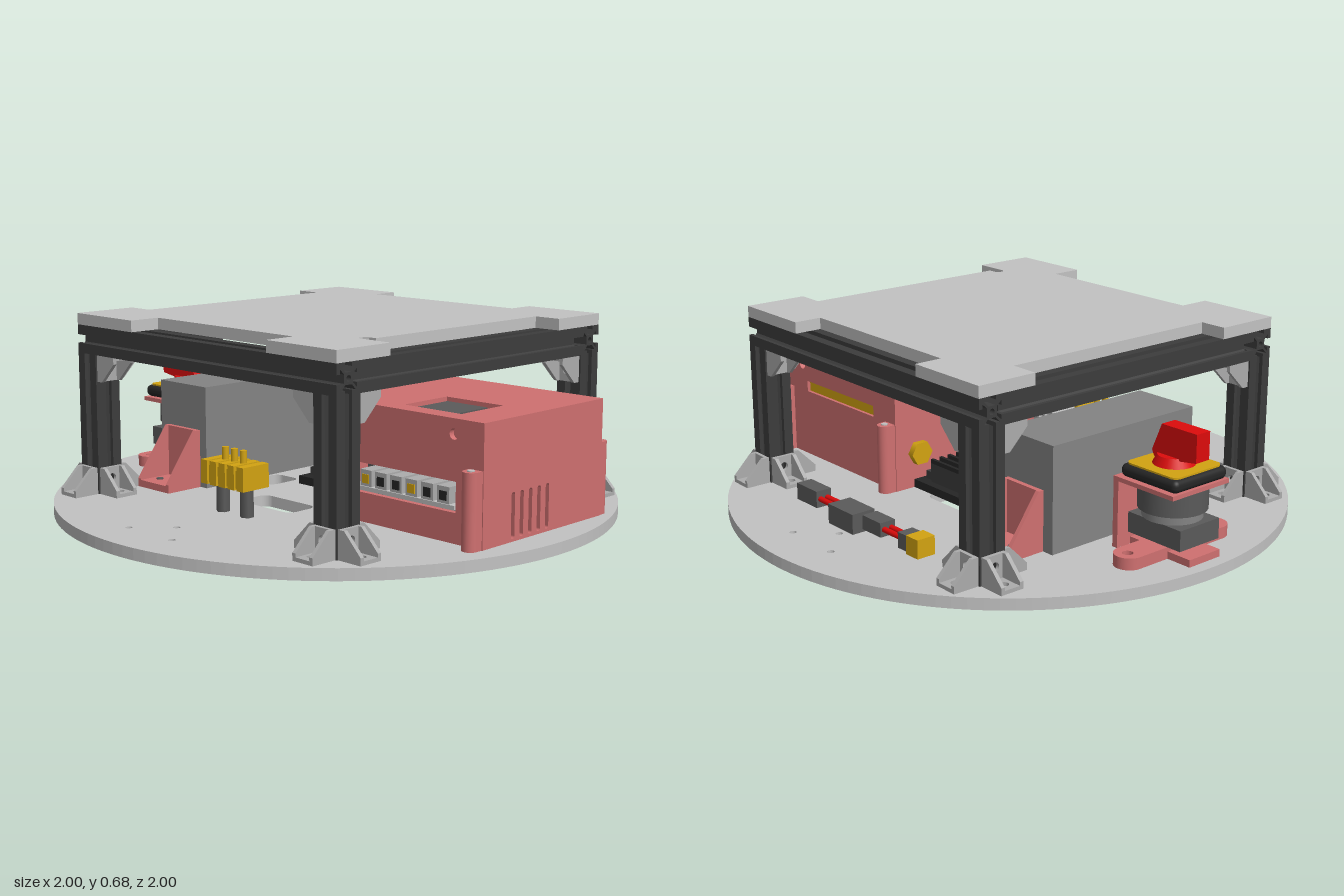
import * as THREE from 'three';
import { RoundedBoxGeometry } from 'three/addons/geometries/RoundedBoxGeometry.js';

const mat = (name, color) => Object.assign(new THREE.MeshStandardMaterial({ color }), { name });
const M = {
  plate: mat('light grey', 0xc2c2c2),
  profile: mat('charcoal', 0x3c3c3c),
  bracket: mat('cast grey', 0xacacac),
  pale: mat('pale red', 0xcf7070),
  red: mat('signal red', 0xdd0c0c),
  gold: mat('yellow', 0xd2a312),
  mid: mat('mid grey', 0x848484),
  dark: mat('dark grey', 0x5a5a5a),
  black: mat('black', 0x262626),
};

function add(parent, name, geo, material, x = 0, y = 0, z = 0) {
  const m = new THREE.Mesh(geo, material);
  m.name = name;
  m.position.set(x, y, z);
  parent.add(m);
  return m;
}
function group(parent, name, x = 0, y = 0, z = 0, ry = 0) {
  const g = new THREE.Group();
  g.name = name;
  g.position.set(x, y, z);
  g.rotation.y = ry;
  parent.add(g);
  return g;
}
// box given by its limits
const box = (p, name, m, x0, x1, y0, y1, z0, z1) =>
  add(p, name, new THREE.BoxGeometry(x1 - x0, y1 - y0, z1 - z0), m, (x0 + x1) / 2, (y0 + y1) / 2, (z0 + z1) / 2);
const cyl = (p, name, m, r0, r1, h, x, y, z, n = 32) =>
  add(p, name, new THREE.CylinderGeometry(r0, r1, h, n), m, x, y + h / 2, z);

const poly = pts => new THREE.Shape(pts.map(p => new THREE.Vector2(...p)));
const rect = (a, b, c, d) => poly([[a, c], [b, c], [b, d], [a, d]]);
const circle = (x, y, r) => new THREE.Shape().absarc(x, y, r, 0, Math.PI * 2);
function slot(cx, cy, w, h, r) {
  const s = new THREE.Shape(), x = w / 2 - r, y = h / 2 - r;
  [[x, y], [-x, y], [-x, -y], [x, -y]].forEach(([dx, dy], i) =>
    s.absarc(cx + dx, cy + dy, r, i * Math.PI / 2, (i + 1) * Math.PI / 2));
  return s;
}
function extrude(shape, depth, holes = []) {
  shape.holes.push(...holes);
  return new THREE.ExtrudeGeometry(shape, { depth, bevelEnabled: false, curveSegments: 12 });
}
// horizontal sheet: shape is (x, z), the sheet hangs below y = 0
const sheet = (shape, t, holes) => extrude(shape, t, holes).rotateX(Math.PI / 2);

// slotted aluminium bar, centred, along z
function bar(length) {
  const side = [[-0.05, 0.05], [-0.015, 0.05], [-0.015, 0.036], [-0.03, 0.036], [-0.014, 0.019],
    [0.014, 0.019], [0.03, 0.036], [0.015, 0.036], [0.015, 0.05]];
  const pts = [];
  for (let i = 0; i < 4; i++) {
    const c = Math.round(Math.cos(i * Math.PI / 2)), s = Math.round(Math.sin(i * Math.PI / 2));
    side.forEach(([x, y]) => pts.push([x * c + y * s, -x * s + y * c]));
  }
  return extrude(poly(pts), length, [circle(0, 0, 0.01)]).translate(0, 0, -length / 2);
}

// corner bracket: foot on y = 0, wall on x = 0, reaching to +x
function cornerBracket(parent, x, y, z, ry, flip = false) {
  const g = group(parent, 'cornerBracket', x, y, z, ry);
  if (flip) g.rotation.set(Math.PI, ry, 0, 'YXZ');
  add(g, 'foot', sheet(rect(0, 0.095, -0.044, 0.044), 0.013, [circle(0.055, 0, 0.016)]), M.bracket, 0, 0.013, 0);
  add(g, 'wall', extrude(rect(-0.044, 0.044, 0, 0.095), 0.013, [circle(0, 0.055, 0.016)]).rotateY(Math.PI / 2), M.bracket);
  for (const s of [-0.044, 0.03])
    add(g, 'web', extrude(poly([[0, 0], [0.095, 0], [0.095, 0.025], [0.025, 0.095], [0, 0.095]]), 0.014), M.bracket, 0, 0, s);
}

function buildBase(root) {
  const holes = [slot(0, 0.29, 0.26, 0.13, 0.035), slot(-0.04, -0.24, 0.26, 0.13, 0.035), slot(-0.28, 0.04, 0.12, 0.14, 0.03)];
  for (const s of [-1, 1]) {
    holes.push(circle(0, s * 0.74, 0.012), circle(-0.81, s * 0.2, 0.012));
    for (const t of [-1, 1])
      holes.push(circle(s * 0.11, t * 0.85, 0.012), circle(s * 0.6, t * 0.71, 0.012), circle(s * 0.71, t * 0.6, 0.012));
  }
  const disc = new THREE.Shape(new THREE.Path().absarc(0, 0, 1, 0, Math.PI * 2).getPoints(64).slice(0, -1));
  add(root, 'baseDisc', sheet(disc, 0.04, holes), M.plate, 0, 0.04, 0);
}

function buildFrame(root) {
  const f = group(root, 'frame', 0.005, 0, -0.005, -0.012);
  for (const s of [-1, 1]) {
    add(f, 'crossBeam', bar(1.3).rotateY(Math.PI / 2), M.profile, 0, 0.59, s * 0.6);
    add(f, 'sideBeam', bar(1.1), M.profile, s * 0.6, 0.59, 0);
    for (const t of [-1, 1]) {
      const x = s * 0.6, z = t * 0.6;
      add(f, 'post', bar(0.5).rotateX(Math.PI / 2), M.profile, x, 0.29, z);
      for (let i = 0; i < 4; i++) {
        const a = i * Math.PI / 2, dx = Math.round(Math.cos(a)), dz = -Math.round(Math.sin(a));
        cornerBracket(f, x + dx * 0.05, 0.04, z + dz * 0.05, a);
        // the upper brackets only point inwards
        if (dx * s < 0 || dz * t < 0) cornerBracket(f, x + dx * 0.05, 0.54, z + dz * 0.05, a, true);
      }
    }
  }
  // top plate with a notch in every side and one cable slot
  const o = 0.65, n = 0.55, w = 0.34, v = 0.42;
  const top = poly([[-o, -o], [-w, -o], [-w, -n], [w, -n], [w, -o], [o, -o], [o, -v], [n, -v], [n, 0.38], [0.52, 0.38],
    [0.505, 0.39], [0.505, 0.41], [0.52, v], [o, v], [o, o], [w, o], [w, 0.535], [-w, 0.535], [-w, o], [-o, o],
    [-o, v - 0.01], [-n, v - 0.01], [-n, -v - 0.01], [-o, -v - 0.01]]);
  add(f, 'topPlate', sheet(top, 0.04), M.plate, 0, 0.68, 0);
}

function buildHousing(root) {
  const g = group(root, 'electronicsHousing');
  const x0 = 0.19, x1 = 0.89, y0 = 0.04, y1 = 0.44, z0 = -0.36, z1 = 0.26, t = 0.02;
  const eye = () => circle(0.77, 0.39, 0.018);
  add(g, 'frontWall', extrude(rect(x0, x1, y0, y1), t, [eye(), rect(0.31, 0.78, 0.14, 0.24)]), M.pale, 0, 0, z1 - t);
  add(g, 'backWall', extrude(rect(x0, x1, y0, y1), t, [eye(), rect(0.32, 0.74, 0.29, 0.33)]), M.pale, 0, 0, z0);
  const vents = [-0.065, -0.021, 0.023, 0.067, 0.111].map(z => slot(-z, 0.125, 0.018, 0.15, 0.008));
  add(g, 'ventWall', extrude(rect(-z1 + t, -z0 - t, y0, y1), t, vents).rotateY(Math.PI / 2), M.pale, x1 - t, 0, 0);
  box(g, 'innerWall', M.pale, x0, x0 + t, y0, y1, z0 + t, z1 - t);
  add(g, 'lid', sheet(rect(x0 + t, x1 - t, z0 + t, z1 - t), t, [rect(0.5, 0.74, -0.02, 0.19)]), M.pale, 0, y1, 0);
  box(g, 'recessFloor', M.pale, 0.48, 0.76, 0.395, 0.405, -0.04, 0.21);
  box(g, 'recessedModule', M.dark, 0.52, 0.69, 0.405, 0.43, 0, 0.18);
  box(g, 'displayStrip', M.gold, 0.31, 0.75, 0.28, 0.34, z0 + 0.012, z0 + 0.025);
  // screw pillars at the corners
  for (const x of [0.22, 0.86]) for (const [z, s] of [[z0 - 0.025, 1], [z1 + 0.025, -1]]) {
    cyl(g, 'pillar', M.pale, 0.027, 0.027, 0.25, x, y0, z, 20);
    box(g, 'pillarWeb', M.pale, x - 0.027, x + 0.027, y0, 0.29, Math.min(z, z + s * 0.025), Math.max(z, z + s * 0.025));
    cyl(g, 'screw', M.plate, 0.012, 0.012, 0.004, x, 0.29, z, 12);
  }
  add(g, 'frontBoss', new THREE.CylinderGeometry(0.03, 0.03, 0.012, 24).rotateX(Math.PI / 2), M.pale, 0.29, 0.115, z1);
  add(g, 'sidePlug', new THREE.CylinderGeometry(0.045, 0.045, 0.03, 6).rotateZ(Math.PI / 2), M.gold, x0 - 0.01, 0.17, -0.26);
  // circuit board behind the window
  box(g, 'powerModule', M.dark, 0.3, 0.84, 0.05, 0.25, -0.14, 0.15);
  box(g, 'circuitBoard', M.plate, 0.32, 0.77, 0.145, 0.16, 0.14, 0.255);
  for (let i = 0; i < 6; i++) {
    const x = 0.36 + i * 0.067;
    box(g, 'socket', M.bracket, x, x + 0.05, 0.16, 0.215, 0.15, 0.25);
    box(g, 'socketOpening', i % 3 ? M.black : M.gold, x + 0.01, x + 0.04, 0.17, 0.2, 0.25, 0.253);
  }
}

function buildBattery(root) {
  const g = group(root, 'battery', -0.47, 0.04, -0.01);
  box(g, 'batteryCase', M.mid, -0.13, 0.12, 0, 0.37, -0.32, 0.32);
  for (const r of [0, Math.PI]) {
    const b = group(g, 'batteryBracket', 0, 0, 0, r);
    box(b, 'foot', M.pale, -0.085, 0.085, 0, 0.025, 0.32, 0.47);
    box(b, 'backPlate', M.pale, -0.085, 0.085, 0.025, 0.21, 0.32, 0.338);
    const web = extrude(poly([[-0.32, 0], [-0.32, 0.21], [-0.34, 0.21], [-0.47, 0.03], [-0.47, 0]]), 0.015).rotateY(Math.PI / 2);
    for (const x of [-0.086, 0.071]) add(b, 'sideWeb', web, M.pale, x, 0, 0);
    for (const x of [-0.035, 0.035]) cyl(b, 'screw', M.dark, 0.013, 0.013, 0.004, x, 0.025, 0.41, 12);
  }
}

function buildSwitch(root) {
  const g = group(root, 'mainSwitch', -0.81, 0.04, 0);
  // bracket with two screw lugs
  add(g, 'lugPlate', sheet(slot(0, 0, 0.1, 0.49, 0.05), 0.04, [circle(0, 0.2, 0.018), circle(0, -0.2, 0.018)]), M.pale, 0, 0.04, 0);
  box(g, 'bracketFoot', M.pale, -0.145, 0.14, 0, 0.025, -0.07, 0.07);
  box(g, 'bracketWall', M.pale, 0.118, 0.14, 0, 0.245, -0.13, 0.13);
  box(g, 'bracketTop', M.pale, -0.12, 0.118, 0.23, 0.245, -0.13, 0.13);
  // switch body
  box(g, 'contactBlock', M.dark, -0.12, 0.11, 0.05, 0.12, -0.09, 0.09);
  cyl(g, 'lowerBody', M.mid, 0.1, 0.1, 0.03, 0, 0.12, 0);
  cyl(g, 'upperBody', M.dark, 0.115, 0.115, 0.08, 0, 0.15, 0);
  add(g, 'collar', new RoundedBoxGeometry(0.245, 0.045, 0.245, 3, 0.02), M.black, 0, 0.268, 0);
  add(g, 'facePlate', sheet(slot(0, 0, 0.22, 0.22, 0.025), 0.006), M.gold, 0, 0.296, 0);
  // rotary handle
  cyl(g, 'handleBase', M.red, 0.055, 0.07, 0.03, 0, 0.296, 0);
  add(g, 'handleGrip', extrude(poly([[-0.12, 0.33], [-0.055, 0.32], [0.06, 0.31], [0.07, 0.33], [0.03, 0.425], [-0.12, 0.425]]), 0.06),
    M.red, 0, 0, -0.03);
}

function buildPowerParts(root) {
  // raised terminal bar
  const t = group(root, 'terminalBar', 0, 0, 0.485);
  box(t, 'barBody', M.gold, -0.1, 0.1, 0.145, 0.205, -0.05, 0.05);
  for (let i = 0; i < 5; i++) {
    const x = -0.09 + i * 0.045;
    box(t, 'divider', M.gold, x - 0.016, x + 0.016, 0.14, 0.222, -0.058, 0.058);
    if (i && i < 4) cyl(t, 'stud', M.gold, 0.012, 0.012, 0.05, x, 0.215, 0, 12);
  }
  for (const x of [-0.06, 0.06]) cyl(t, 'leg', M.dark, 0.024, 0.024, 0.105, x, 0.04, 0, 6);

  // converter with cooling fins
  const c = group(root, 'converter', 0.01, 0.04, -0.13);
  box(c, 'converterBase', M.black, -0.18, 0.18, 0, 0.03, -0.15, 0.15);
  box(c, 'converterBody', M.profile, -0.12, 0.12, 0.03, 0.1, -0.12, 0.12);
  for (let i = 0; i < 7; i++)
    box(c, 'fin', M.black, -0.12, 0.12, 0.1, 0.115, -0.12 + i * 0.038, -0.108 + i * 0.038);
  for (const x of [-0.16, 0.13]) for (const z of [-0.11, 0.05]) box(c, 'terminal', M.profile, x, x + 0.03, 0.03, 0.06, z, z + 0.06);

  // inline cable with connectors
  const k = group(root, 'cable', 0, 0.08, -0.65);
  for (const z of [-0.014, 0.014])
    add(k, 'wire', new THREE.CylinderGeometry(0.01, 0.01, 0.6, 10).rotateZ(Math.PI / 2), M.red, 0, 0, z);
  box(k, 'yellowPlug', M.gold, -0.355, -0.295, -0.035, 0.03, -0.035, 0.035);
  box(k, 'plugSleeve', M.dark, -0.295, -0.245, -0.03, 0.025, -0.03, 0.03);
  box(k, 'fuseHolder', M.dark, -0.15, -0.05, -0.025, 0.025, -0.03, 0.03);
  box(k, 'fuseBlock', M.dark, -0.05, 0.09, -0.035, 0.035, -0.07, 0.02);
  box(k, 'endPlug', M.dark, 0.22, 0.34, -0.03, 0.03, -0.03, 0.03);
}

export function createModel() {
  const root = new THREE.Group();
  root.name = 'robotPlatform';
  [buildBase, buildFrame, buildHousing, buildBattery, buildSwitch, buildPowerParts].forEach(b => b(root));
  return root;
}
